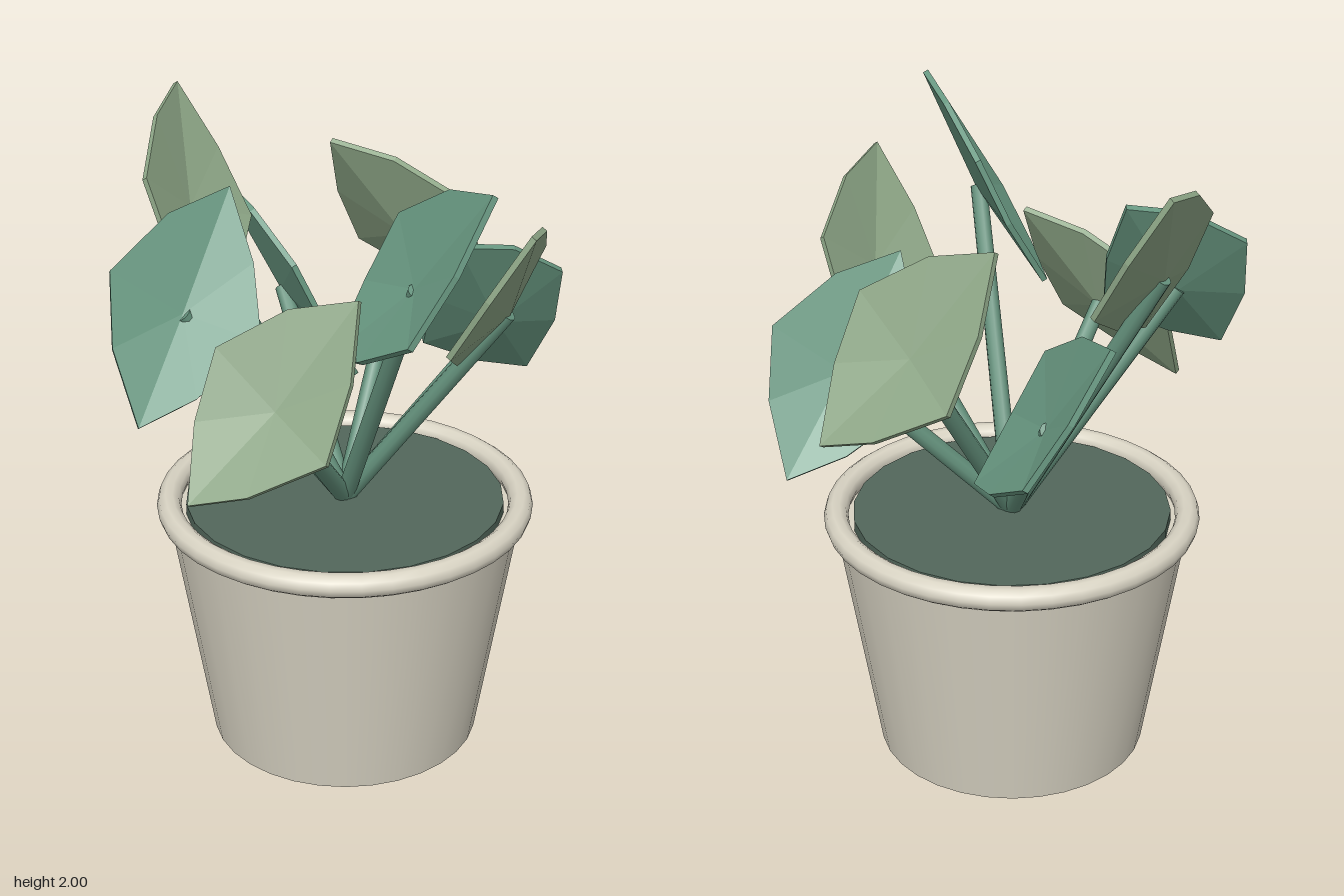
import * as THREE from 'three';

const mat = (color, flatShading = false) => new THREE.MeshStandardMaterial({ color, flatShading });

function part(name, geometry, material, y = 0) {
  const mesh = new THREE.Mesh(geometry, material);
  mesh.name = name;
  mesh.position.y = y;
  return mesh;
}

// Leaf: eight-sided outline around a sunken centre, given a thin thickness
function leafGeometry() {
  const rim = [
    [-0.2, 0.32, 0.13], [0, 0.275, 0.1], [0.2, 0.15, 0.04], [0.23, -0.05, -0.05],
    [0.2, -0.255, -0.17], [0.02, -0.2, -0.16], [-0.2, -0.08, -0.11], [-0.225, 0.12, 0.01],
  ].map((p) => new THREE.Vector3(...p));
  const offset = new THREE.Vector3(0.14, 0.53, -0.84).multiplyScalar(0.009);
  const centre = new THREE.Vector3();
  const up = (p) => p.clone().add(offset);
  const down = (p) => p.clone().sub(offset);
  const points = [];
  rim.forEach((a, i) => {
    const b = rim[(i + 1) % rim.length];
    points.push(up(centre), up(a), up(b)); // upper side
    points.push(down(centre), down(b), down(a)); // underside
    points.push(down(a), down(b), up(b), down(a), up(b), up(a)); // edge
  });
  const geometry = new THREE.BufferGeometry().setFromPoints(points);
  geometry.computeVertexNormals();
  return geometry;
}

// Straight round stem between two points
function stem(from, to, material) {
  const dir = to.clone().sub(from);
  const mesh = part('stem', new THREE.CylinderGeometry(0.026, 0.03, dir.length(), 10), material);
  mesh.position.copy(from).addScaledVector(dir, 0.5);
  mesh.quaternion.setFromUnitVectors(new THREE.Vector3(0, 1, 0), dir.normalize());
  return mesh;
}

export function createModel() {
  const model = new THREE.Group();
  model.name = 'pottedPlant';

  const clay = mat(0xd8d3c3);
  const stemGreen = mat(0x64917c);
  const leafGreens = [mat(0x6a9a83, true), mat(0x8fa888, true)];

  // Pot with a rolled rim and soil
  model.add(part('pot', new THREE.CylinderGeometry(0.55, 0.425, 0.77, 32), clay, 0.385));
  const rim = part('potRim', new THREE.TorusGeometry(0.547, 0.038, 10, 40), clay, 0.792);
  rim.rotation.x = Math.PI / 2;
  model.add(rim);
  model.add(part('soil', new THREE.CylinderGeometry(0.495, 0.495, 0.06, 24), mat(0x52675b), 0.775));

  // Eight stems fan out, each carrying one leaf, in three repeating heights
  const leafShape = leafGeometry();
  const base = new THREE.Vector3(0, 0.8, 0);
  for (let i = 0; i < 8; i++) {
    const angle = (i * Math.PI) / 4;
    const tip = new THREE.Vector3(0.51 * Math.cos(angle), 1.31 + 0.185 * (i % 3), 0.51 * Math.sin(angle));
    const leaf = part('leaf', leafShape, leafGreens[i % 2]);
    leaf.position.copy(tip);
    leaf.rotation.y = angle;
    model.add(stem(base, tip, stemGreen), leaf);
  }
  return model;
}
